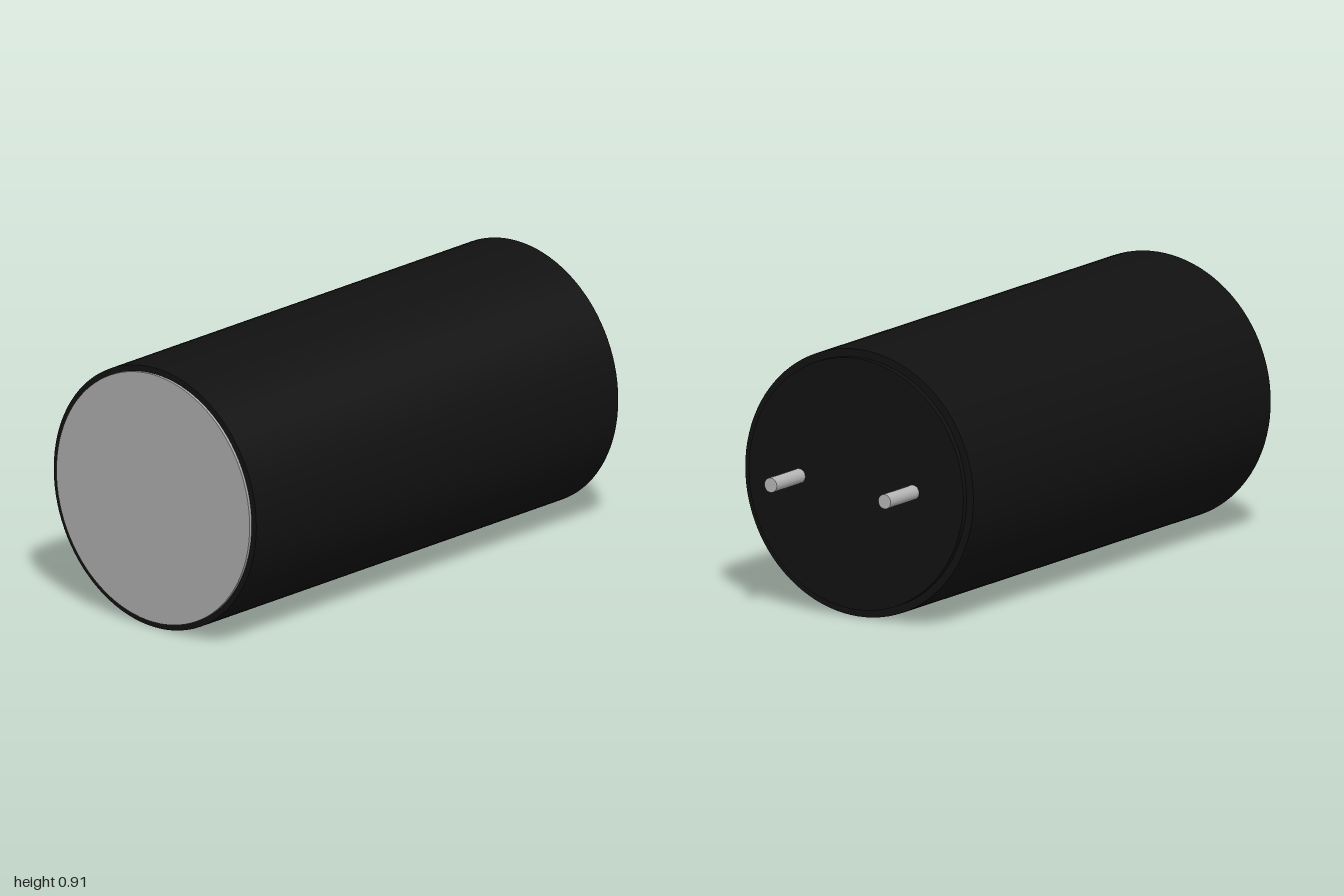
import * as THREE from 'three';

export function createModel() {
  const group = new THREE.Group();
  group.name = 'capacitor';
  const mat = (name, color) => {
    const m = new THREE.MeshStandardMaterial({ color });
    m.name = name;
    return m;
  };
  const black = mat('black sleeve', 0x111111);
  const aluminium = mat('aluminium', 0xa8a8aa);
  const tin = mat('tinned wire', 0xb4b4b4);
  const R = 0.457, CY = R;

  // Cylinder lying along z between two depths
  const rod = (name, radius, z0, z1, x, material, sides) => {
    const geo = new THREE.CylinderGeometry(radius, radius, z1 - z0, sides).rotateX(Math.PI / 2);
    const mesh = new THREE.Mesh(geo, material);
    mesh.name = name;
    mesh.position.set(x, CY, (z0 + z1) / 2);
    group.add(mesh);
  };

  // Outer sleeve, can end at the front and seal at the back
  rod('sleeve', R, -0.808, 0.99, 0, black, 96);
  rod('canEnd', 0.436, 0.98, 1, 0, aluminium, 96);
  rod('rubberSeal', 0.43, -0.828, -0.8, 0, black, 96);

  // Pair of wire leads
  for (const s of [-1, 1]) rod(s > 0 ? 'leftLead' : 'rightLead', 0.025, -1, -0.82, s * 0.228, tin, 24);

  return group;
}
